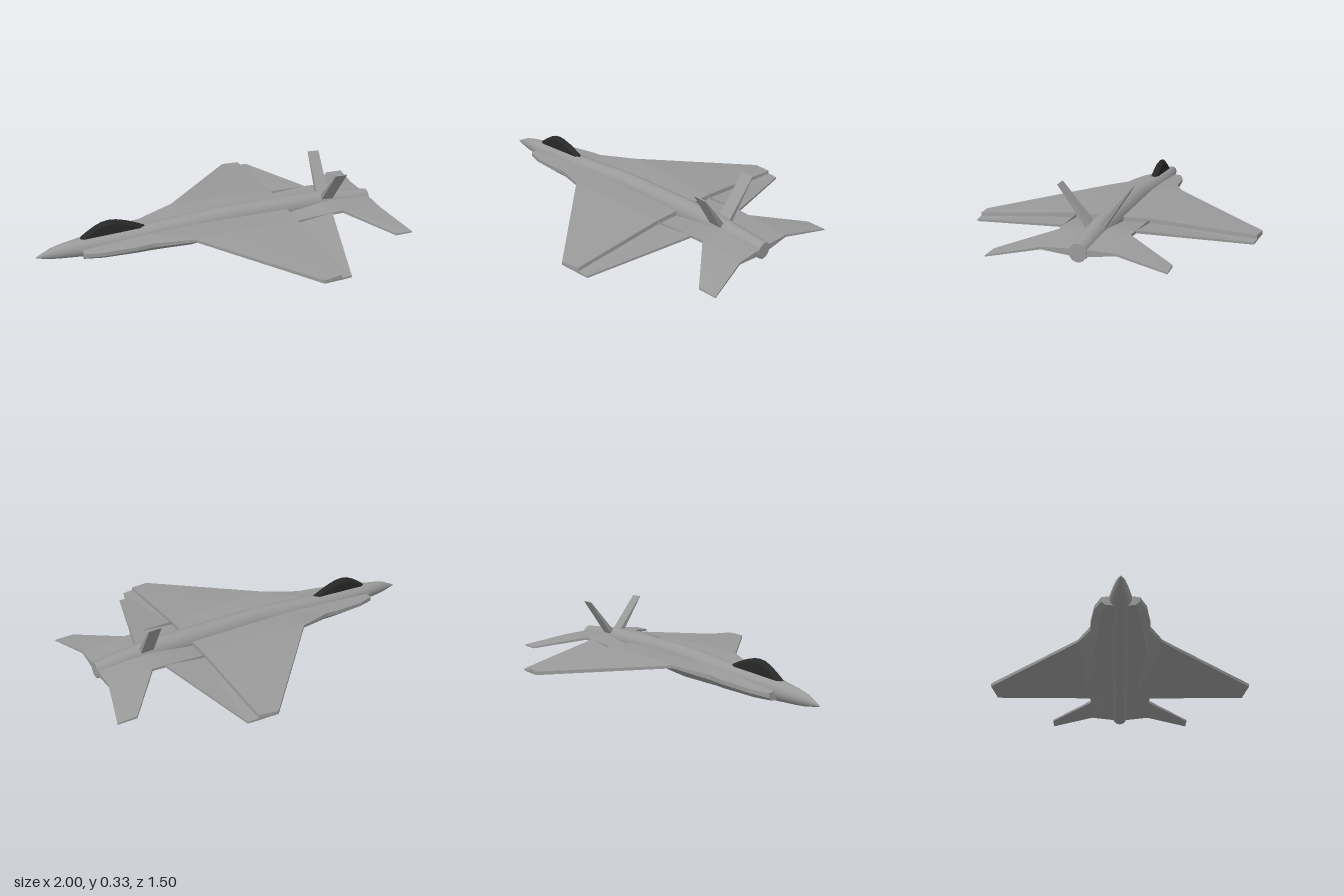
import * as THREE from 'three';

const grey = new THREE.MeshStandardMaterial({ color: 0x9a9a9a });
const greyFlat = new THREE.MeshStandardMaterial({ color: 0x9a9a9a, flatShading: true });
const dark = new THREE.MeshStandardMaterial({ color: 0x282828, flatShading: true });

// Skin a list of closed rings of [x, y, z] points and cap both ends.
function loft(rings) {
  const n = rings[0].length;
  const pos = rings.flat(2);
  const index = [];
  for (let r = 0; r < rings.length - 1; r++) {
    for (let i = 0; i < n; i++) {
      const a = r * n + i, b = r * n + (i + 1) % n;
      index.push(a, b, b + n, a, b + n, a + n);
    }
  }
  [rings[0], rings[rings.length - 1]].forEach((ring, end) => {
    const start = pos.length / 3;
    const centre = [0, 1, 2].map((k) => ring.reduce((s, p) => s + p[k], 0) / n);
    pos.push(...ring.flat(), ...centre);
    for (let i = 0; i < n; i++) {
      const a = start + i, b = start + (i + 1) % n;
      index.push(start + n, ...(end ? [a, b] : [b, a]));
    }
  });
  // Turn the faces outward by the sign of the enclosed volume
  const v = (i) => new THREE.Vector3(pos[3 * i], pos[3 * i + 1], pos[3 * i + 2]);
  let volume = 0;
  for (let t = 0; t < index.length; t += 3) {
    volume += v(index[t]).dot(v(index[t + 1]).cross(v(index[t + 2])));
  }
  if (volume < 0) index.reverse();
  const geo = new THREE.BufferGeometry();
  geo.setAttribute('position', new THREE.Float32BufferAttribute(pos, 3));
  geo.setIndex(index);
  geo.computeVertexNormals();
  return geo;
}

// Cross-section at x from one half's [z, y] points, mirrored across z = 0.
function section(x, half) {
  const mirrored = half.map(([z, y]) => [-z, y]).reverse();
  return [...half, ...mirrored].map(([z, y]) => [x, y, z]);
}

export function createModel() {
  const model = new THREE.Group();
  const add = (name, rings, material) => {
    const mesh = new THREE.Mesh(loft(rings), material);
    mesh.name = name;
    model.add(mesh);
  };
  const addPair = (name, rings) => {
    add('left' + name, rings, greyFlat);
    add('right' + name, rings.map((r) => r.map(([x, y, z]) => [x, y, -z])), greyFlat);
  };

  // Fuselage: x, bottom, top, half width
  const spine = [
    [-1, 0.026, 0.034, 0.003], [-0.92, 0.01, 0.073, 0.024], [-0.86, 0.005, 0.087, 0.036],
    [-0.75, 0, 0.105, 0.055], [-0.4, 0.004, 0.122, 0.057], [0, 0.016, 0.156, 0.058],
    [0.42, 0.024, 0.157, 0.058], [0.63, 0.031, 0.156, 0.055], [0.72, 0.033, 0.147, 0.052],
    [0.94, 0.034, 0.122, 0.043],
  ];
  const sides = 20;
  add('fuselage', spine.map(([x, lo, hi, w]) => Array.from({ length: sides }, (_, i) => {
    const a = (i / sides) * Math.PI * 2;
    return [x, (lo + hi) / 2 + Math.sin(a) * (hi - lo) / 2, Math.cos(a) * w];
  })), grey);

  // Blended body: x, edge z, edge top, edge bottom, belly z, belly y, inner top y
  const body = [
    [-0.76, 0.09, 0.056, 0.032, 0.07, 0.016, 0.062],
    [-0.66, 0.125, 0.063, 0.042, 0.09, 0.015, 0.07],
    [-0.48, 0.148, 0.077, 0.055, 0.11, 0.022, 0.083],
    [-0.4, 0.15, 0.084, 0.06, 0.115, 0.026, 0.088],
    [-0.19, 0.224, 0.107, 0.092, 0.14, 0.034, 0.1],
    [0, 0.212, 0.111, 0.085, 0.12, 0.04, 0.105],
    [0.41, 0.195, 0.107, 0.072, 0.1, 0.045, 0.105],
    [0.412, 0.195, 0.084, 0.072, 0.1, 0.045, 0.082],
    [0.63, 0.185, 0.107, 0.094, 0.085, 0.058, 0.112],
    [0.7, 0.18, 0.107, 0.092, 0.08, 0.06, 0.113],
    [0.936, 0.18, 0.09, 0.078, 0.06, 0.064, 0.095],
  ];
  add('blendedBody', body.map(([x, e, top, bottom, bz, by, inner]) => section(x, [
    [0.04, inner], [e, top], [e, bottom], [bz, by], [0.03, by - 0.004],
  ])), greyFlat);

  // Wings, rooted on the body edge, with the flap stepped down behind the hinge line
  addPair('Wing', [
    [[-0.19, 0.107, 0.224], [0, 0.111, 0.212], [0.41, 0.107, 0.195], [0.412, 0.084, 0.195],
      [0.63, 0.107, 0.185], [0.63, 0.094, 0.185], [0.41, 0.072, 0.195], [0, 0.085, 0.212],
      [-0.19, 0.092, 0.224]],
    [[0.31, 0.061, 0.75], [0.342, 0.062, 0.745], [0.41, 0.065, 0.735], [0.412, 0.047, 0.735],
      [0.47, 0.045, 0.73], [0.47, 0.035, 0.73], [0.41, 0.035, 0.735], [0.342, 0.04, 0.745],
      [0.31, 0.042, 0.75]],
  ]);

  // Tailplanes
  addPair('Tailplane', [
    [[0.7, 0.107, 0.18], [0.936, 0.09, 0.18], [0.936, 0.078, 0.18], [0.7, 0.092, 0.18]],
    [[0.9, 0.05, 0.43], [1, 0.048, 0.43], [1, 0.041, 0.43], [0.9, 0.04, 0.43]],
  ]);

  // Canted tail fins
  addPair('Fin', [
    [[0.63, 0.138, 0.022], [0.7, 0.138, 0.022], [0.7, 0.118, 0.042], [0.63, 0.118, 0.042]],
    [[0.637, 0.332, 0.18], [0.705, 0.33, 0.18], [0.705, 0.327, 0.183], [0.637, 0.329, 0.183]],
  ]);

  // Canopy: x, top height
  const arch = [
    [-0.76, 0.108], [-0.72, 0.136], [-0.68, 0.161], [-0.64, 0.178], [-0.6, 0.184],
    [-0.56, 0.18], [-0.51, 0.166], [-0.46, 0.146], [-0.41, 0.122],
  ];
  add('canopy', arch.map(([x, top]) => section(x, [
    [0.02, 0.08], [0.02, top - 0.018], [0.006, top],
  ])), dark);

  return model;
}
